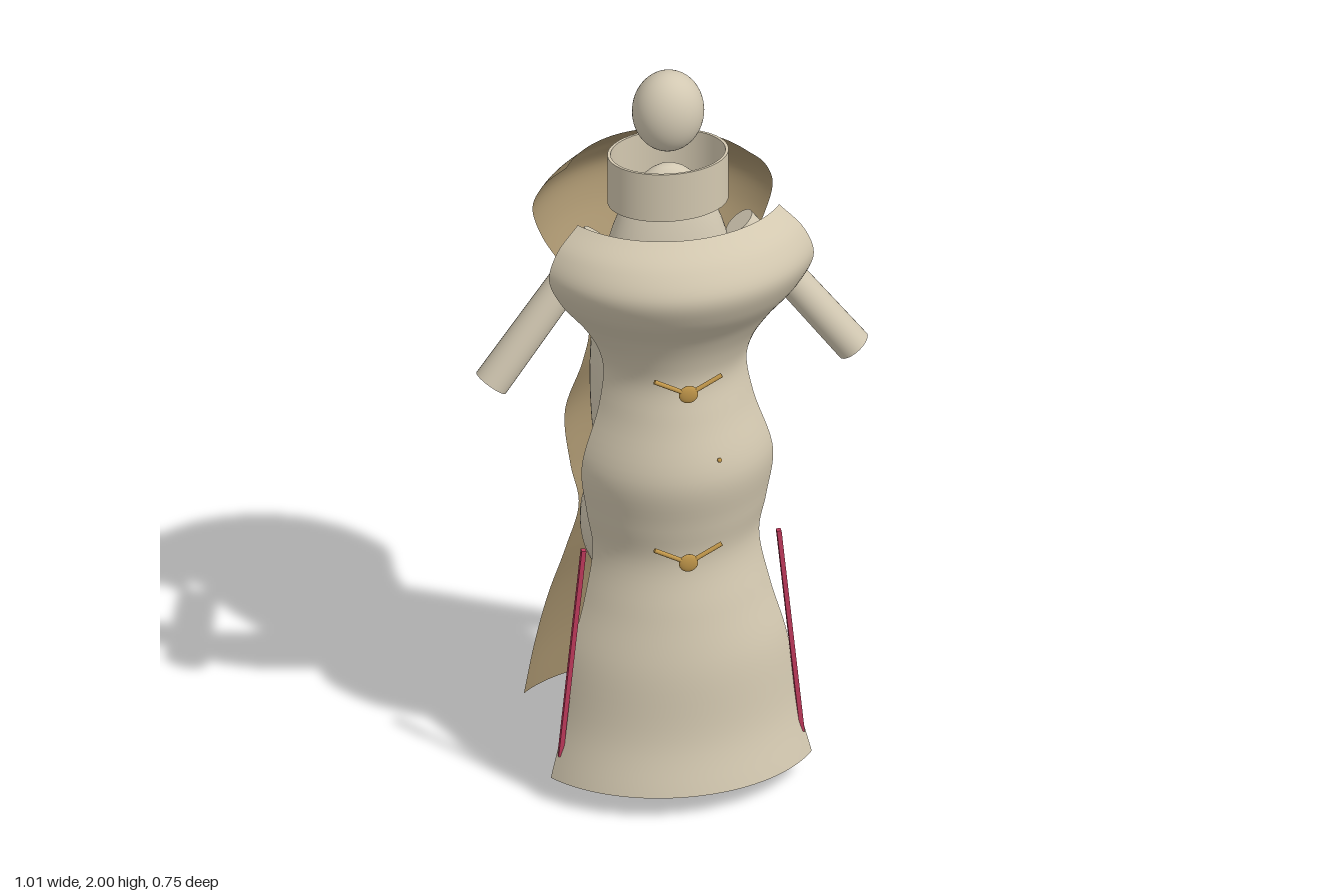
import * as THREE from 'three';

const mat = (name, color, double) => {
  const m = new THREE.MeshStandardMaterial({ color });
  m.name = name;
  if (double) m.side = THREE.DoubleSide;
  return m;
};

// Panel rows from top to hem: [y, half width, edge depth, middle depth]
const FRONT = [
  [1.66, 0.26, 0.145, 0.275], [1.6, 0.318, 0.17, 0.34], [1.53, 0.342, 0.182, 0.375], [1.45, 0.31, 0.175, 0.348],
  [1.35, 0.24, 0.145, 0.275], [1.27, 0.2, 0.115, 0.24], [1.2, 0.185, 0.1, 0.228], [1.1, 0.2, 0.112, 0.248],
  [0.94, 0.247, 0.13, 0.286], [0.8, 0.232, 0.12, 0.262], [0.69, 0.215, 0.112, 0.245], [0.55, 0.24, 0.13, 0.27],
  [0.4, 0.28, 0.152, 0.297], [0.2, 0.305, 0.168, 0.312], [0.065, 0.337, 0.18, 0.345],
];
const BACK = [
  [1.66, 0.23, 0.14, 0.29], [1.6, 0.285, 0.165, 0.335], [1.53, 0.31, 0.182, 0.373], [1.45, 0.29, 0.178, 0.345],
  [1.35, 0.23, 0.14, 0.26], [1.27, 0.195, 0.117, 0.215], [1.2, 0.18, 0.106, 0.19], [1.1, 0.195, 0.115, 0.21],
  [0.95, 0.237, 0.132, 0.241], [0.8, 0.225, 0.12, 0.224], [0.69, 0.205, 0.112, 0.205], [0.55, 0.235, 0.132, 0.238],
  [0.4, 0.275, 0.16, 0.28], [0.25, 0.305, 0.182, 0.304], [0.095, 0.33, 0.195, 0.312],
];

// Curved sheet: smooth profile swept over an arc; side is 1 for front, -1 for back
function panelGeometry(rows, side) {
  const nv = 90, nu = 40, edge = THREE.MathUtils.degToRad(60);
  const wide = new THREE.CatmullRomCurve3(rows.map(r => new THREE.Vector3(r[1], r[0], r[2])));
  const deep = new THREE.CatmullRomCurve3(rows.map(r => new THREE.Vector3(r[3], r[0], 0)));
  const pos = [], idx = [];
  for (let j = 0; j <= nv; j++) {
    const w = wide.getPoint(j / nv), d = deep.getPoint(j / nv).x;
    for (let i = 0; i <= nu; i++) {
      const a = (i / nu * 2 - 1) * edge;
      const k = (Math.cos(a) - Math.cos(edge)) / (1 - Math.cos(edge));
      pos.push(side * w.x * Math.sin(a) / Math.sin(edge), w.y, side * (w.z + (d - w.z) * k));
      if (i < nu && j < nv) {
        const p = j * (nu + 1) + i, q = p + nu + 1;
        idx.push(p, q, q + 1, p, q + 1, p + 1);
      }
    }
  }
  const g = new THREE.BufferGeometry();
  g.setAttribute('position', new THREE.Float32BufferAttribute(pos, 3));
  g.setIndex(idx);
  g.computeVertexNormals();
  return g;
}

export function createModel() {
  const model = new THREE.Group();
  const body = mat('body cream', 0xd2c8b2);
  const cream = mat('front cloth', 0xd3c8b0, true);
  const brown = mat('back cloth', 0xa38f6b, true);
  const gold = mat('gold', 0xc0964a);
  const red = mat('red trim', 0xc03a5c);

  const add = (name, geo, m, parent = model) => {
    const mesh = new THREE.Mesh(geo, m);
    mesh.name = name;
    parent.add(mesh);
    return mesh;
  };
  const ellipsoid = (name, m, r, p, parent) => {
    const e = add(name, new THREE.SphereGeometry(1, 40, 28), m, parent);
    e.scale.set(...r);
    e.position.set(...p);
    return e;
  };
  // Round bar between two points
  const bar = (name, m, a, b, ra, rb, parent, seg = 28) => {
    const A = new THREE.Vector3(...a), B = new THREE.Vector3(...b), d = B.clone().sub(A);
    const c = add(name, new THREE.CylinderGeometry(rb, ra, d.length(), seg), m, parent);
    c.position.copy(A).add(B).multiplyScalar(0.5);
    c.quaternion.setFromUnitVectors(new THREE.Vector3(0, 1, 0), d.normalize());
    return c;
  };

  // Mannequin
  ellipsoid('head', body, [0.092, 0.11, 0.083], [0, 1.89, 0.013]);
  ellipsoid('torso', body, [0.2, 0.6, 0.118], [0, 1.13, 0.005]);
  ellipsoid('pelvis', body, [0.225, 0.25, 0.12], [0, 0.71, 0.003]);

  // Open oval collar with a wall thickness
  const ring = [[0.147, 1.63], [0.155, 1.63], [0.155, 1.63], [0.155, 1.768], [0.155, 1.768], [0.147, 1.768], [0.147, 1.768], [0.147, 1.63]];
  const collar = add('collar', new THREE.LatheGeometry(ring.map(p => new THREE.Vector2(...p)), 48), cream);
  collar.scale.z = 0.735;
  collar.position.z = 0.012;

  // Limbs and side trims, mirrored
  for (const s of [1, -1]) {
    const n = s > 0 ? 'left' : 'right';
    bar(n + 'Arm', body, [s * 0.468, 1.175, 0.066], [s * 0.182, 1.545, 0.018], 0.046, 0.042);
    bar(n + 'Leg', body, [s * 0.094, 0, 0.008], [s * 0.094, 0.62, 0.008], 0.052, 0.056);
    const trim = add(n + 'SlitTrim', new THREE.BoxGeometry(0.012, 0.6, 0.015), red);
    trim.position.set(s * 0.282, 0.425, 0.178);
    trim.rotation.z = s * 0.1;
  }

  // Gown
  add('frontPanel', panelGeometry(FRONT, 1), cream);
  add('backPanel', panelGeometry(BACK, -1), brown);

  // Clasps
  for (const y of [1.205, 0.71]) {
    const clasp = new THREE.Group();
    clasp.name = y > 1 ? 'upperClasp' : 'lowerClasp';
    clasp.position.set(0, y, 0.272);
    model.add(clasp);
    ellipsoid('claspKnob', gold, [0.025, 0.025, 0.008], [0, 0, 0], clasp);
    for (const s of [1, -1]) {
      bar('claspBar', gold, [0, 0, 0], [s * 0.087, 0.044, -0.005], 0.006, 0.006, clasp, 10);
    }
  }
  ellipsoid('smallStud', gold, [0.006, 0.006, 0.006], [0.08, 1.003, 0.273]);

  return model;
}
